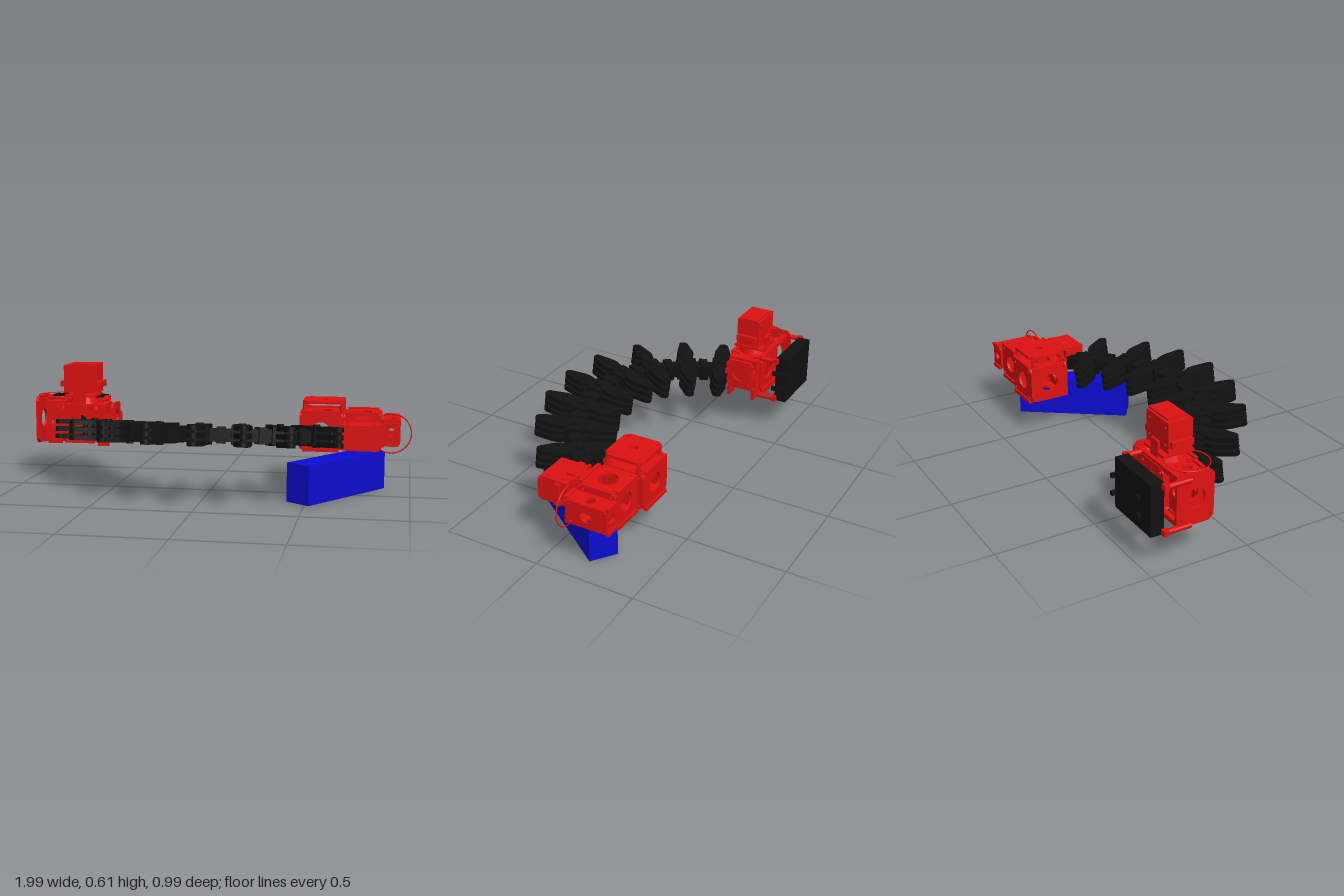
import * as THREE from 'three';

const material = (color) => new THREE.MeshStandardMaterial({ color, flatShading: true, side: THREE.DoubleSide });
const RED = material(0xdd1111), BLACK = material(0x111111), BLUE = material(0x0c0cd0);

function add(parent, name, geometry, mat, x = 0, y = 0, z = 0) {
  const mesh = new THREE.Mesh(geometry, mat);
  mesh.name = name;
  mesh.position.set(x, y, z);
  parent.add(mesh);
  return mesh;
}

// box given by its ranges along each axis
function box(parent, name, mat, [x0, x1], [y0, y1], [z0, z1]) {
  return add(parent, name, new THREE.BoxGeometry(x1 - x0, y1 - y0, z1 - z0), mat,
    (x0 + x1) / 2, (y0 + y1) / 2, (z0 + z1) / 2);
}

function group(parent, name, x = 0, y = 0, z = 0) {
  const g = new THREE.Group();
  g.name = name;
  g.position.set(x, y, z);
  parent.add(g);
  return g;
}

// chamfered plate in the XY plane with a round hole and four screw holes
function plateGeometry(w, h, t, hole) {
  const c = Math.min(w, h) * 0.12, a = w / 2, b = h / 2;
  const s = new THREE.Shape([[-a + c, -b], [a - c, -b], [a, -b + c], [a, b - c],
    [a - c, b], [-a + c, b], [-a, b - c], [-a, -b + c]].map((p) => new THREE.Vector2(...p)));
  s.holes.push(new THREE.Path().absarc(0, 0, hole, 0, Math.PI * 2, true));
  for (const i of [-1, 1]) for (const j of [-1, 1]) {
    s.holes.push(new THREE.Path().absarc(i * w * 0.38, j * h * 0.38, Math.min(w, h) * 0.035, 0, Math.PI * 2, true));
  }
  return new THREE.ExtrudeGeometry(s, { depth: t, bevelEnabled: false, curveSegments: 10 }).translate(0, 0, -t / 2);
}

// hollow housing made of six holed plates
function cage(parent, name, x, y, z, w, h, d) {
  const g = group(parent, name, x, y, z), t = 0.012;
  const r = (a, b) => Math.min(a, b) * 0.25;
  for (const s of [-1, 1]) {
    add(g, 'facePlate', plateGeometry(w, h, t, r(w, h)), RED, 0, 0, s * (d - t) / 2);
    add(g, 'sidePlate', plateGeometry(d, h, t, r(d, h)), RED, s * (w - t) / 2).rotation.y = Math.PI / 2;
    add(g, 'endPlate', plateGeometry(w, d, t, r(w, d)), RED, 0, s * (h - t) / 2).rotation.x = Math.PI / 2;
    // edge rails and screw heads
    for (const k of [-1, 1]) {
      box(g, 'rail', RED, [-w * 0.42, w * 0.42], [s * h / 2 - 0.009, s * h / 2 + 0.009], [k * d / 2 - 0.009, k * d / 2 + 0.009]);
      add(g, 'screw', new THREE.CylinderGeometry(0.007, 0.007, 0.016, 8), RED, s * w * 0.4, h / 2, k * d * 0.28);
    }
  }
  return g;
}

// joint unit: cage, servo tower on local +y, outer housing and cable loop on side s
function joint(parent, name, s, x, y, z) {
  const g = group(parent, name, x, y, z);
  cage(g, 'centreCage', 0, 0, 0, 0.19, 0.19, 0.18);
  cage(g, 'outerHousing', s * 0.145, 0, 0, 0.09, 0.21, 0.12);
  // turntable and fork below the servo
  add(g, 'hornDisc', new THREE.CylinderGeometry(0.06, 0.075, 0.04, 16), RED, 0, 0.12, 0);
  box(g, 'hornPlate', RED, [-0.08, 0.08], [0.138, 0.15], [-0.08, 0.08]);
  for (const k of [-1, 1]) {
    box(g, 'forkArm', RED, [-0.03, 0.03], [0.09, 0.2], [k * 0.072 - 0.006, k * 0.072 + 0.006]);
    box(g, 'mountEar', RED, [k * 0.1 - 0.012, k * 0.1 + 0.012], [0.19, 0.22], [-0.055, 0.055]);
    for (const j of [-1, 1]) {
      add(g, 'towerScrew', new THREE.CylinderGeometry(0.007, 0.007, 0.135, 8), RED, k * 0.065, 0.235 + j * 0.04, 0)
        .rotation.x = Math.PI / 2;
    }
  }
  // servo tower
  box(g, 'servoBody', RED, [-0.09, 0.09], [0.16, 0.305], [-0.062, 0.062]);
  box(g, 'servoCap', RED, [-0.06, 0.095], [0.295, 0.314], [-0.05, 0.05]);
  // cable loop
  const loop = add(g, 'cableLoop', new THREE.TorusGeometry(0.1, 0.003, 6, 36), RED, s * 0.145, s < 0 ? 0.14 : 0.115, 0);
  loop.rotation.x = Math.PI / 2;
  return g;
}

// tapered wing with rounded tip, lying in XZ and pointing along +z
function wingGeometry() {
  const s = new THREE.Shape();
  s.moveTo(-0.025, 0.02);
  s.lineTo(-0.043, 0.08);
  s.lineTo(-0.043, 0.105);
  s.lineTo(-0.025, 0.178);
  s.absarc(0, 0.177, 0.025, Math.PI, 0, true);
  s.lineTo(0.043, 0.105);
  s.lineTo(0.043, 0.08);
  s.lineTo(0.025, 0.02);
  for (const [x, y, r] of [[0, 0.172, 0.008], [-0.02, 0.098, 0.007], [0.02, 0.098, 0.007]]) {
    s.holes.push(new THREE.Path().absarc(x, y, r, 0, Math.PI * 2, true));
  }
  return new THREE.ExtrudeGeometry(s, { depth: 0.024, bevelEnabled: false, curveSegments: 8 })
    .rotateX(Math.PI / 2).translate(0, 0.012, 0);
}

// curved chain of winged links: x, z and heading of each link
const LINKS = [[-0.635, -0.1, -1.18], [-0.52, 0.05, -0.96], [-0.37, 0.19, -0.6], [-0.2, 0.265, -0.18],
  [0, 0.29, 0], [0.2, 0.26, 0.18], [0.375, 0.185, 0.39], [0.54, 0.06, 0.71]];

function chain(parent) {
  const g = group(parent, 'linkChain', 0, 0.295, 0);
  g.rotation.x = -0.134;
  const wing = wingGeometry();
  for (const [x, z, a] of LINKS) {
    const link = group(g, 'link', x, 0, z);
    link.rotation.y = a;
    for (const y of [-0.038, 0, 0.038]) {
      add(link, 'outerWing', wing, BLACK, 0, y, 0);
      add(link, 'innerWing', wing, BLACK, 0, y, 0).rotation.y = Math.PI;
    }
    box(link, 'linkCore', BLACK, [-0.05, 0.05], [-0.045, 0.045], [-0.045, 0.045]);
    add(link, 'pivotPin', new THREE.CylinderGeometry(0.018, 0.018, 0.115, 12), BLACK);
    for (const k of [-1, 1]) {
      add(link, 'spacer', new THREE.CylinderGeometry(0.012, 0.012, 0.08, 8), BLACK, 0, 0, k * 0.12);
    }
  }
  // connectors between neighbouring links and to the end units
  const pts = [[-0.69, -0.2], ...LINKS, [0.65, -0.04]];
  for (let i = 1; i < pts.length; i++) {
    const [x0, z0] = pts[i - 1], [x1, z1] = pts[i];
    const len = Math.hypot(x1 - x0, z1 - z0);
    const c = group(g, 'connector', (x0 + x1) / 2, 0, (z0 + z1) / 2);
    c.rotation.y = -Math.atan2(z1 - z0, x1 - x0);
    box(c, 'connectorBar', BLACK, [-len / 2, len / 2], [-0.032, 0.032], [-0.028, 0.028]);
    box(c, 'connectorHub', BLACK, [-0.022, 0.022], [-0.04, 0.04], [-0.045, 0.045]);
  }
}

export function createModel() {
  const model = new THREE.Group();
  model.name = 'linkedRobot';
  chain(model);

  // right end unit, servo upright
  joint(model, 'uprightJoint', -1, -0.735, 0.3, -0.25);
  box(model, 'innerMount', RED, [-0.64, -0.6], [0.22, 0.4], [-0.33, -0.17]);
  add(model, 'innerHorn', plateGeometry(0.15, 0.15, 0.014, 0.04), RED, -0.56, 0.33, -0.25).rotation.y = Math.PI / 2;
  for (const z of [-0.32, -0.18]) {
    box(model, 'innerArm', RED, [-0.64, -0.545], [0.3, 0.35], [z - 0.008, z + 0.008]);
    box(model, 'innerFoot', RED, [-0.64, -0.58], [0.18, 0.24], [z - 0.008, z + 0.008]);
  }

  // back panel carried on four posts
  add(model, 'outerPlate', plateGeometry(0.19, 0.25, 0.016, 0.05), RED, -0.972, 0.31, -0.27).rotation.y = Math.PI / 2;
  for (const y of [0.185, 0.405]) {
    box(model, 'crossRail', RED, [-0.98, -0.64], [y - 0.012, y + 0.012], [-0.345, -0.32]);
    for (const x of [-0.975, -0.65]) {
      add(model, 'post', new THREE.CylinderGeometry(0.013, 0.013, 0.14, 10), RED, x, y, -0.36).rotation.x = Math.PI / 2;
      box(model, 'postNut', RED, [x - 0.014, x + 0.014], [y - 0.014, y + 0.014], [-0.43, -0.405]);
    }
  }
  box(model, 'panel', BLACK, [-0.96, -0.66], [0.17, 0.42], [-0.48, -0.415]);
  box(model, 'panelRib', BLACK, [-0.8, -0.75], [0.2, 0.39], [-0.415, -0.4]);
  for (const x of [-0.872, -0.655]) for (const y of [0.24, 0.328]) {
    box(model, 'panelStud', BLACK, [x - 0.009, x + 0.009], [y - 0.01, y + 0.01], [-0.498, -0.4]);
  }

  // left end unit, turned so the servo faces forward
  joint(model, 'forwardJoint', 1, 0.755, 0.3, -0.235).rotation.x = Math.PI / 2;
  cage(model, 'innerCage', 0.545, 0.295, -0.25, 0.22, 0.19, 0.21);
  add(model, 'topPlate', plateGeometry(0.21, 0.2, 0.014, 0.02), RED, 0.555, 0.442, -0.25).rotation.x = Math.PI / 2;
  for (const x of [0.46, 0.65]) for (const z of [-0.33, -0.17]) {
    add(model, 'topPost', new THREE.CylinderGeometry(0.01, 0.01, 0.06, 8), RED, x, 0.41, z);
  }

  // support block
  const block = add(model, 'supportBlock', new THREE.BoxGeometry(0.14, 0.193, 0.591), BLUE, 0.64, 0.098, 0);
  block.rotation.y = -0.623;
  return model;
}
